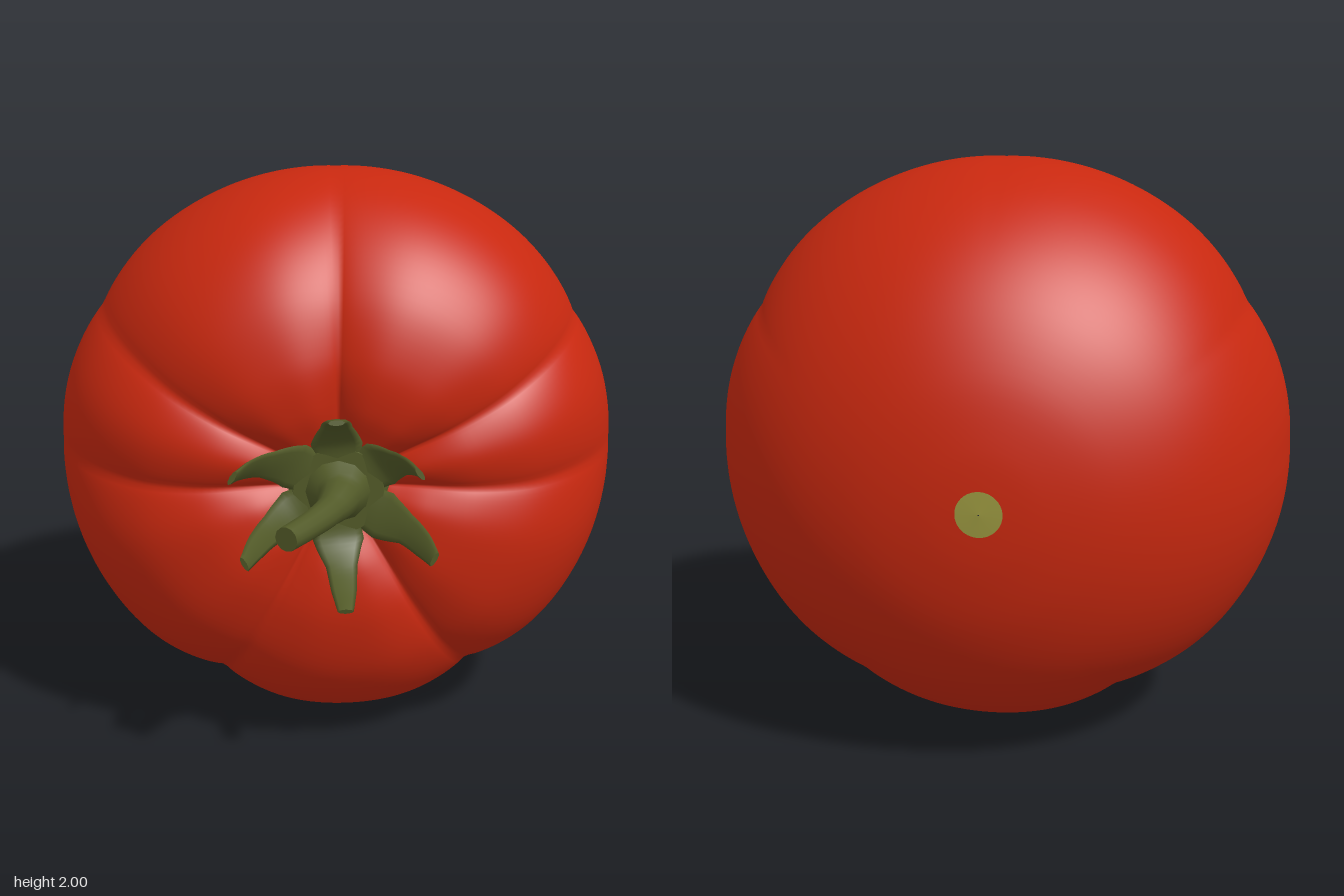
import * as THREE from 'three';

const red = new THREE.MeshStandardMaterial({ color: 0xc8280f });
red.name = 'skinRed';
const olive = new THREE.MeshStandardMaterial({ color: 0x99963f });
olive.name = 'blossomScarOlive';
const green = new THREE.MeshStandardMaterial({ color: 0x525a28 });
green.name = 'stemGreen';

const RAD = Math.PI / 180;
const smooth = (x, a, b) => THREE.MathUtils.smoothstep(x, a, b);

// Joins closed rings (counterclockwise about the direction of travel) into a surface
function loft(rings, capped) {
  const n = rings[0].length, pos = [], idx = [];
  rings.forEach(ring => ring.forEach(p => pos.push(p.x, p.y, p.z)));
  for (let i = 0; i < rings.length - 1; i++) {
    for (let j = 0; j < n; j++) {
      const a = i * n + j, b = i * n + (j + 1) % n;
      idx.push(a, b, b + n, a, b + n, a + n);
    }
  }
  if (capped) {
    const last = rings[rings.length - 1], start = pos.length / 3;
    last.forEach(p => pos.push(p.x, p.y, p.z));
    for (let j = 1; j < n - 1; j++) idx.push(start, start + j, start + j + 1);
  }
  const geo = new THREE.BufferGeometry();
  geo.setAttribute('position', new THREE.Float32BufferAttribute(pos, 3));
  geo.setIndex(idx);
  geo.computeVertexNormals();
  return geo;
}

// Sweeps an ellipse along a curve; size(t) gives [half width along side, half thickness]
function sweep(points, side, size, steps, sides) {
  const curve = new THREE.CatmullRomCurve3(points);
  const rings = [];
  for (let i = 0; i <= steps; i++) {
    const t = i / steps, c = curve.getPoint(t), T = curve.getTangent(t);
    const a = side.clone().addScaledVector(T, -side.dot(T)).normalize();
    const b = new THREE.Vector3().crossVectors(T, a);
    const [w, h] = size(t);
    rings.push(Array.from({ length: sides }, (_, j) => {
      const q = j / sides * Math.PI * 2;
      return c.clone().addScaledVector(a, w * Math.cos(q)).addScaledVector(b, h * Math.sin(q));
    }));
  }
  return loft(rings, true);
}

// Linear lookup in an evenly spaced list
function along(list, t) {
  const f = t * (list.length - 1), i = Math.min(Math.floor(f), list.length - 2);
  return THREE.MathUtils.lerp(list[i], list[i + 1], f - i);
}

// Fruit: lathe-like profile (radius, z) from back to front, creased by radial grooves
function fruit() {
  const profile = new THREE.SplineCurve([
    [0.002, -0.92], [0.2, -0.905], [0.42, -0.85], [0.63, -0.74], [0.8, -0.58], [0.93, -0.37],
    [1.0, -0.13], [0.96, 0.12], [0.85, 0.32], [0.68, 0.46], [0.47, 0.525], [0.3, 0.52],
    [0.18, 0.475], [0.09, 0.43], [0.002, 0.41],
  ].map(p => new THREE.Vector2(...p)));
  // [angle in degrees, strength at the widest girth]
  const grooves = [[90, 0.1], [30, 0.45], [2, 0.1], [178, 0.1], [148, 0.45], [242, 1], [302, 0.85]];
  const rows = 96, cols = 240, rings = [];
  let scarRows = 0;
  for (let i = 0; i <= rows; i++) {
    const t = i / rows, p = profile.getPoint(t), T = profile.getTangent(t);
    if (p.x < 0.1 && t < 0.5) scarRows = i;
    const front = smooth(p.y, -0.1, 0.45), girth = smooth(p.y, -0.75, -0.1);
    const ring = [];
    for (let j = 0; j < cols; j++) {
      const q = j / cols * Math.PI * 2;
      let depth = 0;
      for (const [deg, strength] of grooves) {
        let d = Math.abs(q - deg * RAD);
        d = Math.min(d, Math.PI * 2 - d);
        const amount = girth * strength * (1 - front) + front;
        depth += amount * (0.032 * Math.exp(-((d / 0.22) ** 2)) + 0.024 * Math.exp(-d / 0.06));
      }
      depth *= smooth(p.x, 0, 0.3);
      const r = p.x - T.y * depth, z = p.y + T.x * depth;
      const lift = 0.02 * smooth(p.y, 0.2, 0.5) * (1 - smooth(p.x, 0.2, 0.7));
      ring.push(new THREE.Vector3(r * Math.cos(q), 1 + lift + r * Math.sin(q), z));
    }
    rings.push(ring);
  }
  const geo = loft(rings, false), split = scarRows * cols * 6;
  geo.addGroup(0, split, 0);
  geo.addGroup(split, geo.index.count - split, 1);
  return new THREE.Mesh(geo, [olive, red]);
}

export function createModel() {
  const group = new THREE.Group();
  const add = (mesh, name) => { mesh.name = name; group.add(mesh); };
  const V = (x, y, z) => new THREE.Vector3(x, y, z);
  add(fruit(), 'fruit');

  // Calyx hub
  const hub = new THREE.Mesh(new THREE.CylinderGeometry(0.15, 0.17, 0.05, 24), green);
  hub.rotation.x = Math.PI / 2;
  hub.position.set(0, 1.02, 0.465);
  add(hub, 'calyxHub');

  // Sepals: base angle, then tip position
  const sepals = [
    [92, -0.01, 1.36, 0.8], [35, 0.25, 1.18, 0.76], [-30, 0.3, 0.895, 0.77],
    [-90, 0.02, 0.71, 0.76], [208, -0.3, 0.89, 0.79], [148, -0.33, 1.19, 0.82],
  ];
  for (const [deg, x, y, z] of sepals) {
    const c = Math.cos(deg * RAD), s = Math.sin(deg * RAD);
    const base = V(0.17 * c, 1.02 + 0.17 * s, 0.495), tip = V(x, y, z);
    const mid = (f, g) => V(
      THREE.MathUtils.lerp(base.x, tip.x, f),
      THREE.MathUtils.lerp(base.y, tip.y, f),
      THREE.MathUtils.lerp(base.z, tip.z, g));
    const path = [V(0.07 * c, 1.02 + 0.07 * s, 0.475), base, mid(0.48, 0.27), mid(0.8, 0.63), tip];
    const widths = [0.07, 0.085, 0.052, 0.042, 0.026];
    add(new THREE.Mesh(
      sweep(path, V(-s, c, 0), t => [along(widths, t), 0.009], 20, 8), green), 'sepal');
  }

  // Curved stem flaring into the hub
  const stemPath = [V(0, 1.02, 0.46), V(0, 1.02, 0.55), V(-0.03, 1.02, 0.66), V(-0.09, 1.02, 0.78), V(-0.165, 1.02, 0.9)];
  const stemRadii = [0.125, 0.072, 0.05, 0.043, 0.04];
  add(new THREE.Mesh(sweep(stemPath, V(0, 1, 0), t => {
    const r = along(stemRadii, t);
    return [r, r];
  }, 24, 12), green), 'stem');
  return group;
}
